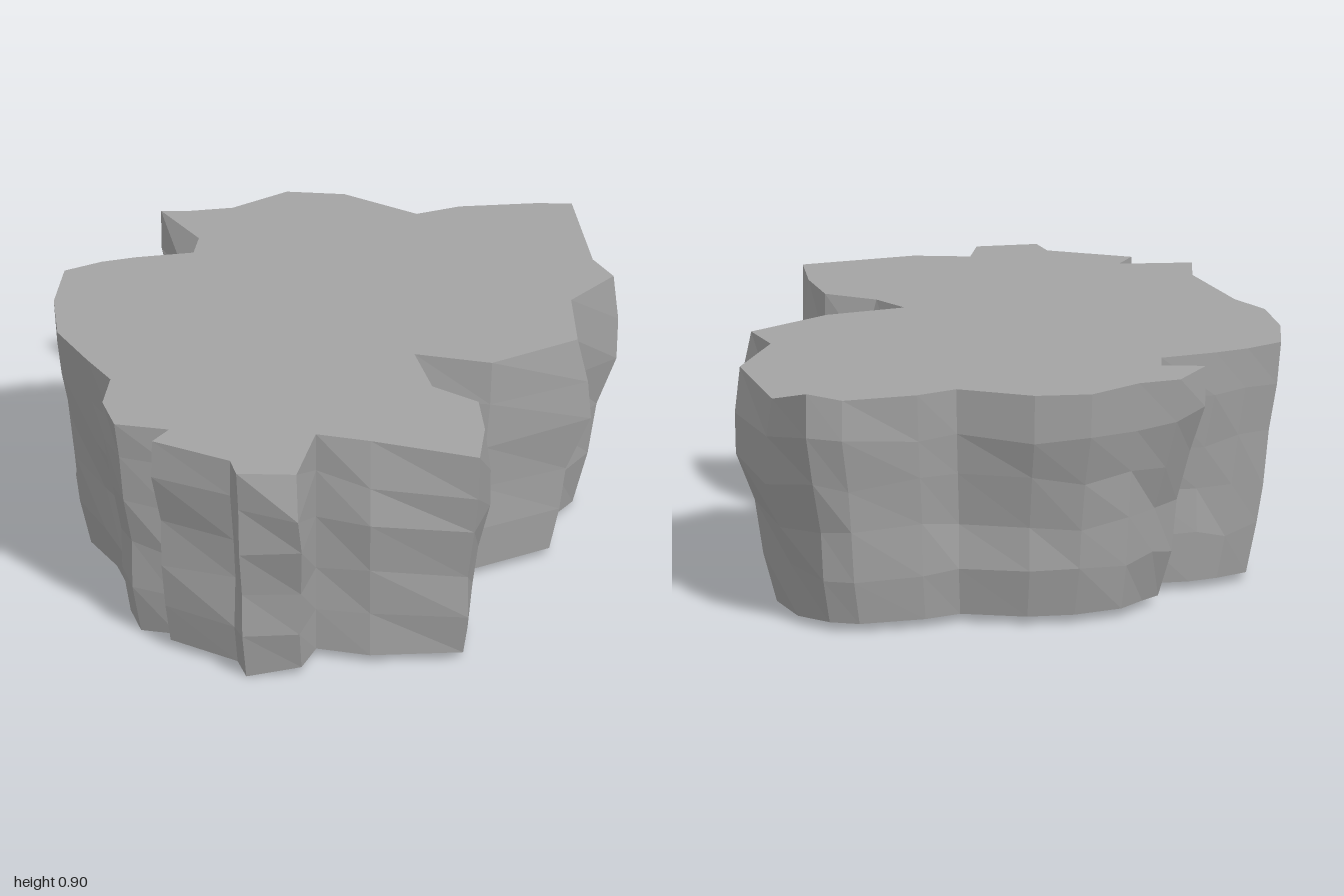
import * as THREE from 'three';

// Rim of the plateau, clockwise seen from above: [x, z, foot scale, top height]
const FOOT = 0.88, TOP = 0.87, BASE = 0.03;
const RIM = [
  [-0.17, -1.0, 0.83], [0.03, -0.98, 0.84], [0.28, -0.84], [0.43, -0.89], [0.7, -0.91],
  [0.82, -0.87, 0.87, 0.89], [0.89, -0.62, 0.88, 0.81], [0.96, -0.4, 0.85],
  [0.81, -0.2, 0.92, 0.89], [0.83, 0.04],
  [0.53, 0.2], [0.26, 0.17, 0.82, 0.89], [0.32, 0.36],
  [0.48, 0.47], [0.5, 0.66], [0.48, 0.86],
  [0.1, 0.79, 0.98, 0.9], [-0.09, 0.74, 0.98, 0.9], [-0.16, 0.97],
  [-0.37, 0.96, 0.9], [-0.39, 0.87, 0.93], [-0.66, 0.73, 0.9],
  [-0.6, 0.65, 0.95], [-0.79, 0.61], [-0.83, 0.51, 0.88, 0.9],
  [-0.8, 0.35, 0.91, 0.9], [-0.88, 0.16],
  [-0.98, -0.03], [-0.99, -0.25], [-0.95, -0.46],
  [-0.82, -0.52], [-0.7, -0.55], [-0.5, -0.58, 0.83],
  [-0.48, -0.68, 0.83], [-0.61, -0.82, 0.78, 0.9], [-0.51, -0.87, 0.8], [-0.36, -0.89],
];

// Height fraction, foot-to-rim blend and crag strength of each ring, bottom to top
const RINGS = [[0, 0, 0], [0.2, 0.32, 0], [0.4, 0.38, 0.4],
  [0.61, 0.65, 1], [0.81, 0.93, 0.6], [1, 1, 0]];

// Crags that swell out of the wall: [rim index, dx, dz]
const CRAGS = [
  [6, 0.05, 0.02], [7, 0.06, 0], [9, 0.07, 0], [11, 0.06, 0.02], [12, 0.08, 0.02],
  [14, 0.04, 0], [16, 0, 0.05], [18, 0.01, 0.06], [33, -0.08, 0],
];
// Corners of the foot that reach the ground
const LOW_CORNERS = [6, 7, 19, 23];

function seeded(seed) {
  return () => {
    seed = (seed * 16807) % 2147483647;
    return (seed / 2147483647) * 2 - 1;
  };
}

function createRings() {
  const rand = seeded(4127);
  const rings = RINGS.map(([h, blend, strength], level) => {
    const rough = level > 0 && level < RINGS.length - 1 ? 1 : 0;
    const ring = RIM.map(([x, z, foot = FOOT, top = TOP]) => {
      const scale = THREE.MathUtils.lerp(foot, 1, blend) + rough * 0.014 * rand();
      const y = THREE.MathUtils.lerp(BASE, top, h) + rough * 0.02 * rand();
      return new THREE.Vector3(x * scale, y, z * scale);
    });
    for (const [i, dx, dz] of CRAGS) {
      ring[i].x += dx * strength;
      ring[i].z += dz * strength;
    }
    return ring;
  });
  for (const i of LOW_CORNERS) rings[0][i].y = 0;
  return rings;
}

function facetMesh(name, triangles, material) {
  const geometry = new THREE.BufferGeometry().setFromPoints(triangles);
  geometry.computeVertexNormals();
  const mesh = new THREE.Mesh(geometry, material);
  mesh.name = name;
  return mesh;
}

// Fills a ring, shaded as one even plane facing up (1) or down (-1)
function capMesh(name, ring, facing, material) {
  const outline = ring.map((p) => new THREE.Vector2(p.x, p.z));
  const triangles = THREE.ShapeUtils.triangulateShape(outline, []).flatMap((face) => {
    const [a, b, c] = face.map((i) => ring[i]);
    const normalY = (b.z - a.z) * (c.x - a.x) - (b.x - a.x) * (c.z - a.z);
    return normalY * facing > 0 ? [a, b, c] : [a, c, b];
  });
  const mesh = facetMesh(name, triangles, material);
  const normals = mesh.geometry.attributes.normal;
  for (let i = 0; i < normals.count; i++) normals.setXYZ(i, 0, facing, 0);
  return mesh;
}

export function createModel() {
  const rock = new THREE.MeshStandardMaterial({ color: 0xa3a3a3, flatShading: true });
  const levelRock = new THREE.MeshStandardMaterial({ color: 0xa3a3a3 });
  const rings = createRings();
  const n = RIM.length;

  // Craggy wall between neighbouring rings
  const wall = [];
  for (let r = 0; r < rings.length - 1; r++) {
    for (let i = 0; i < n; i++) {
      const j = (i + 1) % n;
      const a = rings[r][i], b = rings[r][j];
      const c = rings[r + 1][i], d = rings[r + 1][j];
      wall.push(a, c, d, a, d, b);
    }
  }

  const model = new THREE.Group();
  model.name = 'rockPlateau';
  model.add(
    facetMesh('cliffWall', wall, rock),
    capMesh('plateauTop', rings[rings.length - 1], 1, levelRock),
    capMesh('rockBase', rings[0], -1, levelRock));
  return model;
}
